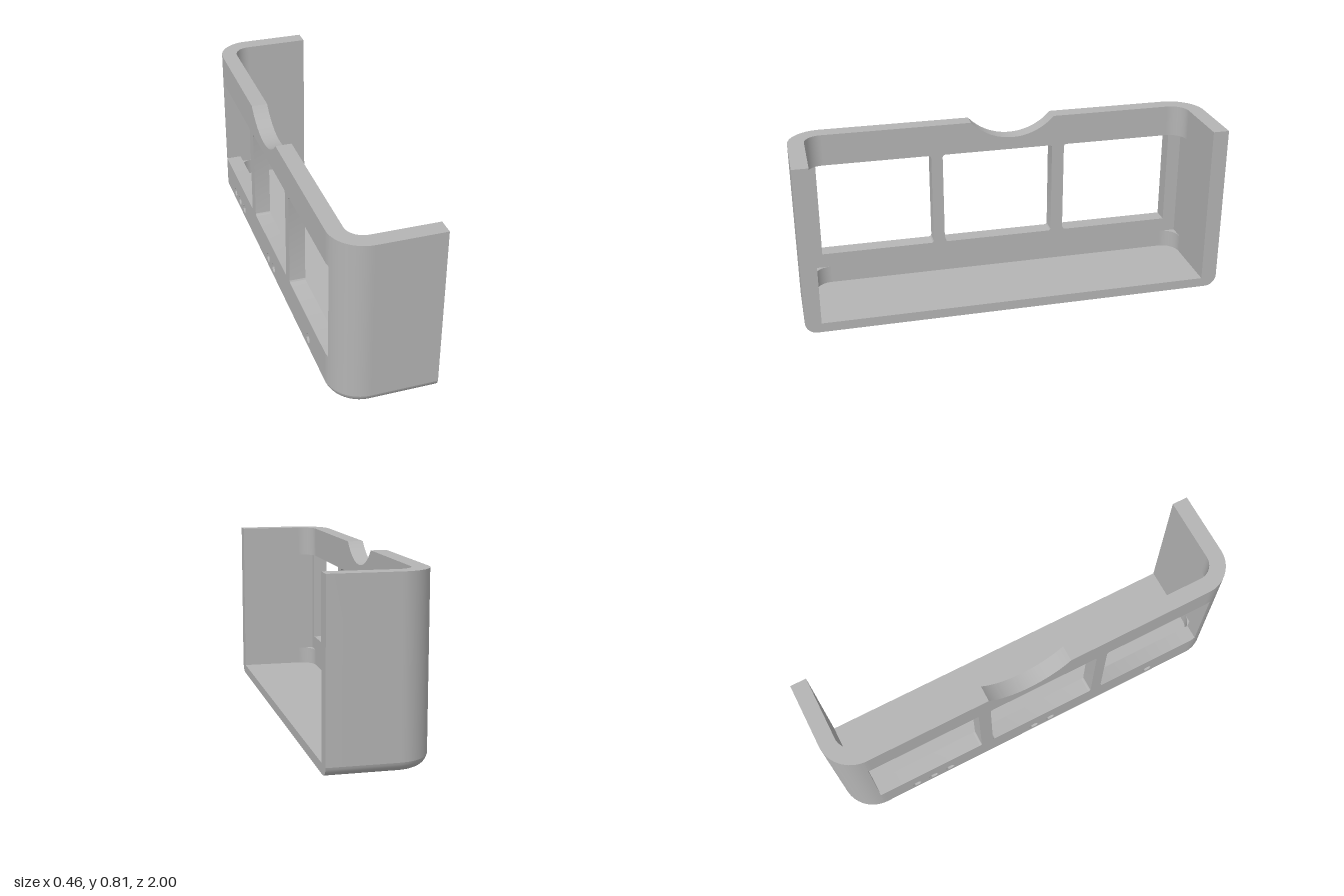
import * as THREE from 'three';
import { mergeGeometries, toCreasedNormals } from 'three/addons/utils/BufferGeometryUtils.js';

// Main dimensions
const XB = -0.23, XI = -0.155, XF = 0.23;   // back wall outside / inside, open side
const ZO = 1, ZI = 0.925, ZC = 0.845;       // end wall outside / inside, corner start
const R = 0.155, RI = 0.08, CX = XB + R;    // corner radii and centre
const FLOOR = 0.045, TOP = 0.81, EDGE = 0.055;
const WIN_LOW = 0.2, WIN_HIGH = 0.66, POCKET_LOW = 0.13, CORNER = 0.015;

const arc = (r, a0, a1, n = 14) => Array.from({ length: n + 1 }, (_, i) => {
  const a = a0 + (a1 - a0) * i / n;
  return [CX - r * Math.cos(a), ZC + r * Math.sin(a)];
});

export function createModel() {
  const group = new THREE.Group();
  const grey = new THREE.MeshStandardMaterial({ color: 0xb4b4b4 });

  const add = (name, geometry) => {
    const mesh = new THREE.Mesh(toCreasedNormals(geometry, 0.6), grey);
    mesh.name = name;
    group.add(mesh);
    return mesh;
  };

  // Upright prism from a plan outline of [x, z] points; side mirrors z
  const prism = (name, points, side, y0, y1) => {
    const shape = new THREE.Shape(points.map(([x, z]) => new THREE.Vector2(x, z * side)));
    const g = new THREE.ExtrudeGeometry(shape, { depth: y1 - y0, bevelEnabled: false });
    add(name, g.rotateX(Math.PI / 2).translate(0, y1, 0));
  };

  add('floor', floorGeometry());

  // End walls with rounded outer corners; the window edge differs on each side
  for (const [side, edge] of [[1, 0.88], [-1, 0.86]]) {
    const a = Math.asin((edge - ZC) / R);
    const bend = arc(R, 0, a, 4);
    prism('endWall', [[XF, ZI], [XF, ZO], ...arc(R, Math.PI / 2, a), [XI, edge], [XI, ZI]],
      side, FLOOR, TOP);
    // Bits of wall above and below the window, and inner corner fillets
    const strip = [...bend, [XI, edge], [XI, ZC]];
    const fillet = [[XI, ZI], ...arc(RI, 0, Math.PI / 2)];
    prism('lowerWallEdge', strip, side, FLOOR, WIN_LOW);
    prism('upperWallEdge', strip, side, WIN_HIGH, TOP);
    prism('lowerCornerFillet', fillet, side, FLOOR, POCKET_LOW);
    prism('upperCornerFillet', fillet, side, WIN_HIGH, TOP);
  }

  // Back wall with blind pin holes on its outside
  const pins = [-0.68, -0.59, -0.5, -0.035, 0.057, 0.614];
  const pinY = 0.09, pinR = 0.023, pinDepth = 0.04;
  add('backWall', backWallGeometry(pins, pinY, pinR));
  for (const z of pins) {
    const cup = new THREE.LatheGeometry(
      [[pinR, pinDepth], [pinR, 0], [0, 0]].map(p => new THREE.Vector2(...p)), 24);
    add('pinHole', cup.rotateZ(Math.PI / 2)).position.set(XB + pinDepth, pinY, z);
  }
  return group;
}

// Floor slab whose outer lower edge is rounded, built from inset rings
function floorGeometry() {
  const ring = (y) => {
    const d = EDGE - Math.sqrt(EDGE ** 2 - (EDGE - y) ** 2);
    const half = [[XF, ZO - d], ...arc(R - d, Math.PI / 2, 0)];
    const all = [...half, ...half.slice().reverse().map(([x, z]) => [x, -z])];
    return all.map(([x, z]) => [x, y, z]);
  };
  const steps = 8, last = Math.acos(1 - FLOOR / EDGE);
  const rings = Array.from({ length: steps + 1 },
    (_, i) => ring(EDGE * (1 - Math.cos(last * i / steps))));
  const n = rings[0].length, pos = [];
  const tri = (...p) => p.forEach(v => pos.push(...v));
  for (let k = 0; k < steps; k++) {
    for (let i = 0; i < n; i++) {
      const j = (i + 1) % n, lo = rings[k], hi = rings[k + 1];
      tri(lo[i], hi[i], lo[j]);
      tri(lo[j], hi[i], hi[j]);
    }
  }
  const bottom = rings[0], top = rings[steps];
  for (let i = 1; i < n - 1; i++) {
    tri(bottom[0], bottom[i], bottom[i + 1]);
    tri(top[0], top[i + 1], top[i]);
  }
  const g = new THREE.BufferGeometry();
  g.setAttribute('position', new THREE.Float32BufferAttribute(pos, 3));
  g.computeVertexNormals();
  return g;
}

// Wall outline drawn in (z, y): outer windows open at the sides, finger notch on top
function backWallShape() {
  const s = new THREE.Shape(), c = CORNER, L = WIN_LOW, H = WIN_HIGH;
  s.moveTo(-ZC, FLOOR).lineTo(ZC, FLOOR).lineTo(ZC, L);
  s.lineTo(0.335 + c, L).quadraticCurveTo(0.335, L, 0.335, L + c);
  s.lineTo(0.335, H - c).quadraticCurveTo(0.335, H, 0.335 + c, H);
  s.lineTo(ZC, H).lineTo(ZC, TOP);
  const mid = -0.0625, half = 0.2025, deep = 0.09;
  const r = (half ** 2 + deep ** 2) / (2 * deep), a = Math.asin(half / r);
  s.lineTo(mid + half, TOP);
  s.absarc(mid, TOP - deep + r, r, -Math.PI / 2 + a, -Math.PI / 2 - a, true);
  s.lineTo(-ZC, TOP).lineTo(-ZC, H);
  s.lineTo(-0.32 - c, H).quadraticCurveTo(-0.32, H, -0.32, H - c);
  s.lineTo(-0.32, L + c).quadraticCurveTo(-0.32, L, -0.32 - c, L);
  s.lineTo(-ZC, L);
  // Middle window
  const w = new THREE.Path(), z0 = -0.26, z1 = 0.28;
  w.moveTo(z0 + c, L).lineTo(z1 - c, L).quadraticCurveTo(z1, L, z1, L + c);
  w.lineTo(z1, H - c).quadraticCurveTo(z1, H, z1 - c, H);
  w.lineTo(z0 + c, H).quadraticCurveTo(z0, H, z0, H - c);
  w.lineTo(z0, L + c).quadraticCurveTo(z0, L, z0 + c, L);
  s.holes.push(w);
  return s;
}

function backWallGeometry(pins, pinY, pinR) {
  const depth = XI - XB;
  const solid = new THREE.ExtrudeGeometry(backWallShape(),
    { depth, bevelEnabled: false, curveSegments: 24 });
  // Replace the plain outer face with one that has the pin openings
  const lids = solid.groups[0].count, p = solid.attributes.position.array;
  const body = new THREE.BufferGeometry();
  body.setAttribute('position', new THREE.Float32BufferAttribute(
    [...p.slice(0, lids / 2 * 3), ...p.slice(lids * 3)], 3));
  const pierced = backWallShape();
  for (const z of pins) {
    pierced.holes.push(new THREE.Path().absarc(z, pinY, pinR, 0, Math.PI * 2, true));
  }
  const face = new THREE.ShapeGeometry(pierced, 24).toNonIndexed().translate(0, 0, depth);
  face.deleteAttribute('uv');
  face.deleteAttribute('normal');
  const g = mergeGeometries([body, face]);
  g.computeVertexNormals();
  return g.rotateY(-Math.PI / 2).translate(XI, 0, 0);
}
